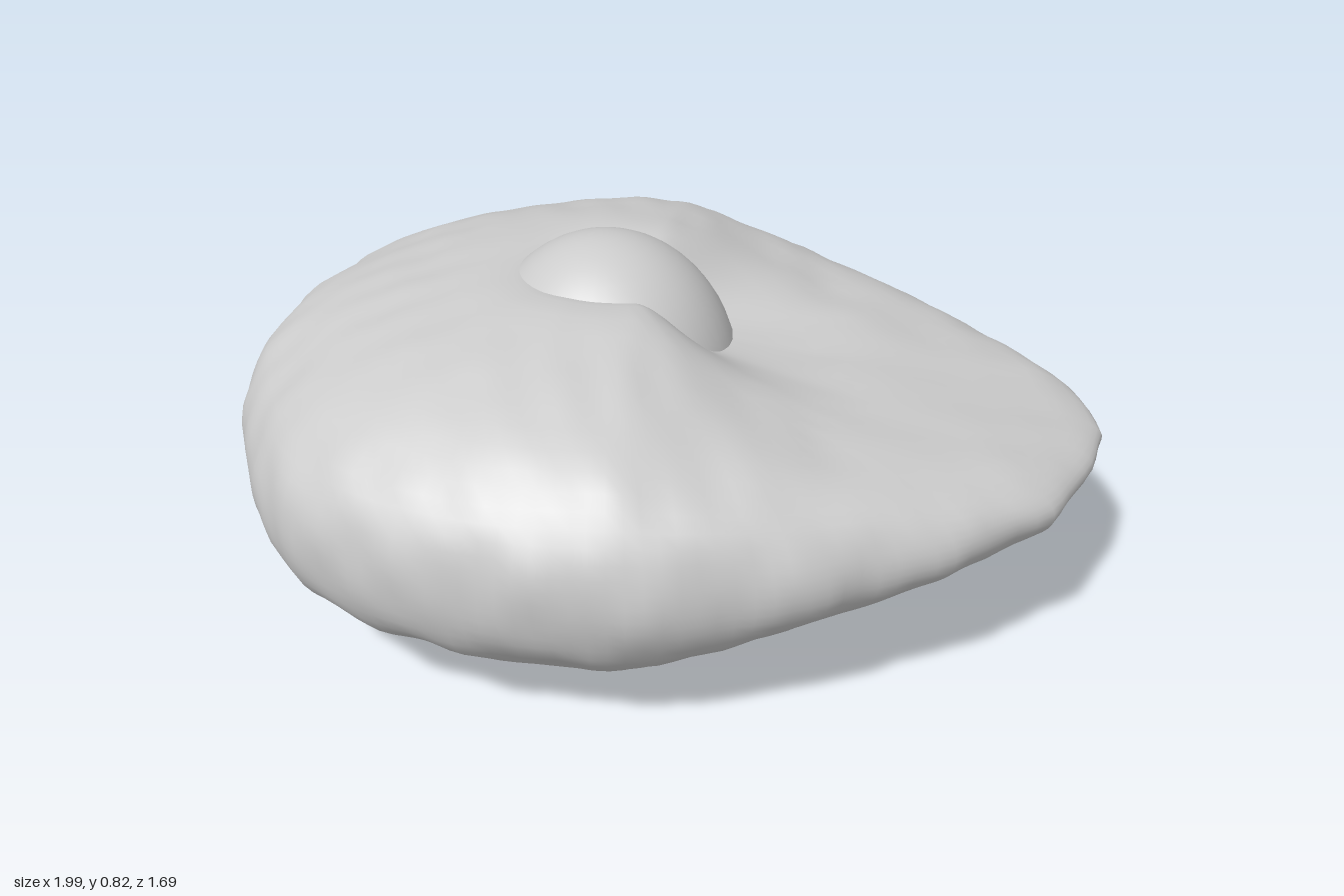
import * as THREE from 'three';

const stone = new THREE.MeshStandardMaterial({ color: 0xcccccc });
stone.name = 'light grey';

const CX = -0.13; // x of the central hole
const MID = 0.385; // height of the rim
const HALF = 0.378; // half height of the ring where it is fattest
const { smoothstep, lerp } = THREE.MathUtils;

// Straight-line interpolation through a list of [key, value] pairs
function interpolate(list, t) {
  if (t <= list[0][0]) return list[0][1];
  const i = list.findIndex((p) => p[0] >= t);
  if (i < 0) return list[list.length - 1][1];
  const [t0, v0] = list[i - 1], [t1, v1] = list[i];
  return lerp(v0, v1, (t - t0) / (t1 - t0));
}

// Outline of the ring seen from above (x, z), front side then back side, as [angle, radius]
const outline = [
  [1, 0], [0.94, 0.19], [0.85, 0.36], [0.6, 0.57], [0.45, 0.65], [0.2, 0.77], [-0.1, 0.83],
  [-0.32, 0.82], [-0.6, 0.72], [-0.72, 0.64], [-0.87, 0.42], [-0.96, 0.2], [-0.99, 0],
  [-0.95, -0.25], [-0.83, -0.53], [-0.6, -0.72], [-0.45, -0.8], [-0.3, -0.84], [0, -0.83],
  [0.15, -0.79], [0.38, -0.7], [0.6, -0.56], [0.8, -0.37], [0.95, -0.2],
].map(([x, z]) => {
  const a = Math.atan2(z, x - CX);
  return [a < 0 ? a + Math.PI * 2 : a, Math.hypot(x - CX, z)];
});
outline.push([Math.PI * 2, outline[0][1]]);

// Thickness share along x: the ring tapers like a wedge towards its left
const taper = [
  [-1, 0.95], [-0.5, 0.965], [-0.2, 1], [-0.03, 0.98], [0.05, 0.91], [0.2, 0.72],
  [0.35, 0.56], [0.6, 0.42], [0.8, 0.35], [1, 0.3],
];

// Cross-section as (share of radius, share of half height), from the inner top around the rim
const section = new THREE.CatmullRomCurve3([
  [0.03, 0.3], [0.11, 0.85], [0.25, 0.99], [0.5, 0.93], [0.77, 0.74], [0.93, 0.48], [1, 0.1],
  [0.95, -0.37], [0.77, -0.69], [0.5, -0.9], [0.25, -1], [0.09, -0.97], [0.04, -0.75], [0.03, -0.1],
].map(([u, v]) => new THREE.Vector3(u, v, 0)), true, 'centripetal');

// Soft lumps on the surface
const lumps = (x, y, z) =>
  Math.sin(8 * x + 3 * y + 1) * Math.sin(9 * z - 2 * x) * 0.4 +
  Math.sin(17 * x - 9 * z + 2) * Math.sin(15 * z + 8 * x + 1) * Math.cos(16 * y) * 0.5 +
  Math.sin(31 * x + 12 * z) * Math.sin(29 * z - 14 * x) * Math.cos(26 * y + 1) * 0.4;

// Lumpy ring with shallow valleys, above and below, from the hole to the thin left side
function ringGeometry(around = 144, across = 64) {
  const pos = [], index = [];
  const profile = section.getSpacedPoints(across);
  for (let i = 0; i < around; i++) {
    const a = (i / around) * Math.PI * 2;
    const R = interpolate(outline, a);
    const fromLip = THREE.MathUtils.radToDeg(Math.min(a, Math.PI * 2 - a));
    const topValley = 0.31 * Math.exp(-((fromLip / 46) ** 4));
    const bottomValley = 0.5 * Math.exp(-((fromLip / 38) ** 3));
    for (let j = 0; j < across; j++) {
      const p = profile[j];
      const x = CX + Math.cos(a) * p.x * R, z = Math.sin(a) * p.x * R;
      // The rim keeps its fullness away from the tip of the wedge
      const fullness = 0.55 * Math.abs(Math.sin(a)) * smoothstep(p.x, 0.5, 0.95);
      const valley = (p.y > 0 ? topValley : bottomValley) * (1 - smoothstep(p.x, 0.22, 0.62));
      const y = p.y * HALF * interpolate(taper, x) ** (1 - fullness) * (1 - valley);
      const n = lumps(x, y, z) * smoothstep(p.x, 0.2, 0.7);
      const s = 1 + n * 0.014;
      pos.push(CX + (x - CX) * s, MID + y * (1 + n * 0.03), z * s);
      const i2 = (i + 1) % around, j2 = (j + 1) % across;
      const A = i * across + j, B = i2 * across + j, C = i2 * across + j2, D = i * across + j2;
      index.push(A, B, D, B, C, D);
    }
  }
  const g = new THREE.BufferGeometry();
  g.setAttribute('position', new THREE.Float32BufferAttribute(pos, 3));
  g.setIndex(index);
  g.computeVertexNormals();
  return g;
}

export function createModel() {
  const model = new THREE.Group();
  model.name = 'lumpyRingWithCore';

  const ring = new THREE.Mesh(ringGeometry(), stone);
  ring.name = 'ring';
  model.add(ring);

  // Egg-shaped core filling the hole
  const core = new THREE.Mesh(new THREE.SphereGeometry(1, 40, 28), stone);
  core.name = 'core';
  core.scale.set(0.31, 0.36, 0.3);
  core.position.set(-0.145, 0.47, 0);
  model.add(core);

  return model;
}
